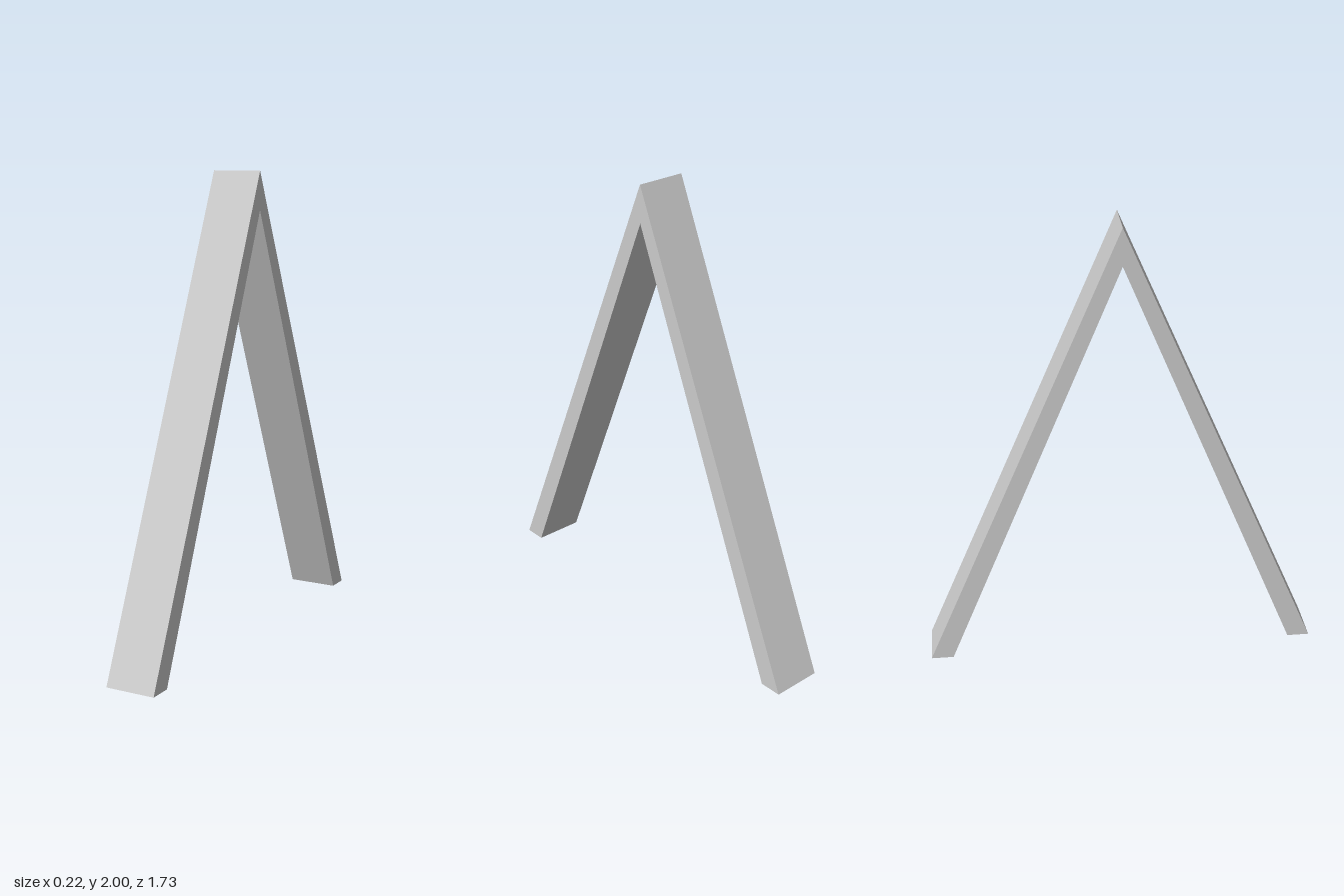
import * as THREE from 'three';

const HALF_WIDTH = 0.11;

// Rectangular cross-section between an outer and an inner profile point [y, z]
function section([yo, zo], [yi, zi]) {
  return [
    [-HALF_WIDTH, yo, zo],
    [HALF_WIDTH, yo, zo],
    [HALF_WIDTH, yi, zi],
    [-HALF_WIDTH, yi, zi],
  ];
}

// Flat-sided shell joining two cross-sections, left open at both ends
function shell(a, b) {
  const positions = [];
  for (let i = 0; i < 4; i++) {
    const j = (i + 1) % 4;
    positions.push(...a[i], ...a[j], ...b[j], ...a[i], ...b[j], ...b[i]);
  }
  const geometry = new THREE.BufferGeometry();
  geometry.setAttribute('position', new THREE.Float32BufferAttribute(positions, 3));
  geometry.computeVertexNormals();
  return geometry;
}

export function createModel() {
  const group = new THREE.Group();
  group.name = 'aFrame';
  const material = new THREE.MeshStandardMaterial({
    color: 0xcccccc,
    flatShading: true,
    side: THREE.DoubleSide,
  });

  // Two hollow legs, open at the feet, mitred together at the apex
  const frontFoot = section([0, 0.864], [0, 0.766]);
  const apex = section([2, 0], [1.838, 0]);
  const backFoot = section([0, -0.864], [0, -0.766]);

  const frontLeg = new THREE.Mesh(shell(frontFoot, apex), material);
  frontLeg.name = 'frontLeg';
  const backLeg = new THREE.Mesh(shell(apex, backFoot), material);
  backLeg.name = 'backLeg';

  group.add(frontLeg, backLeg);
  return group;
}
